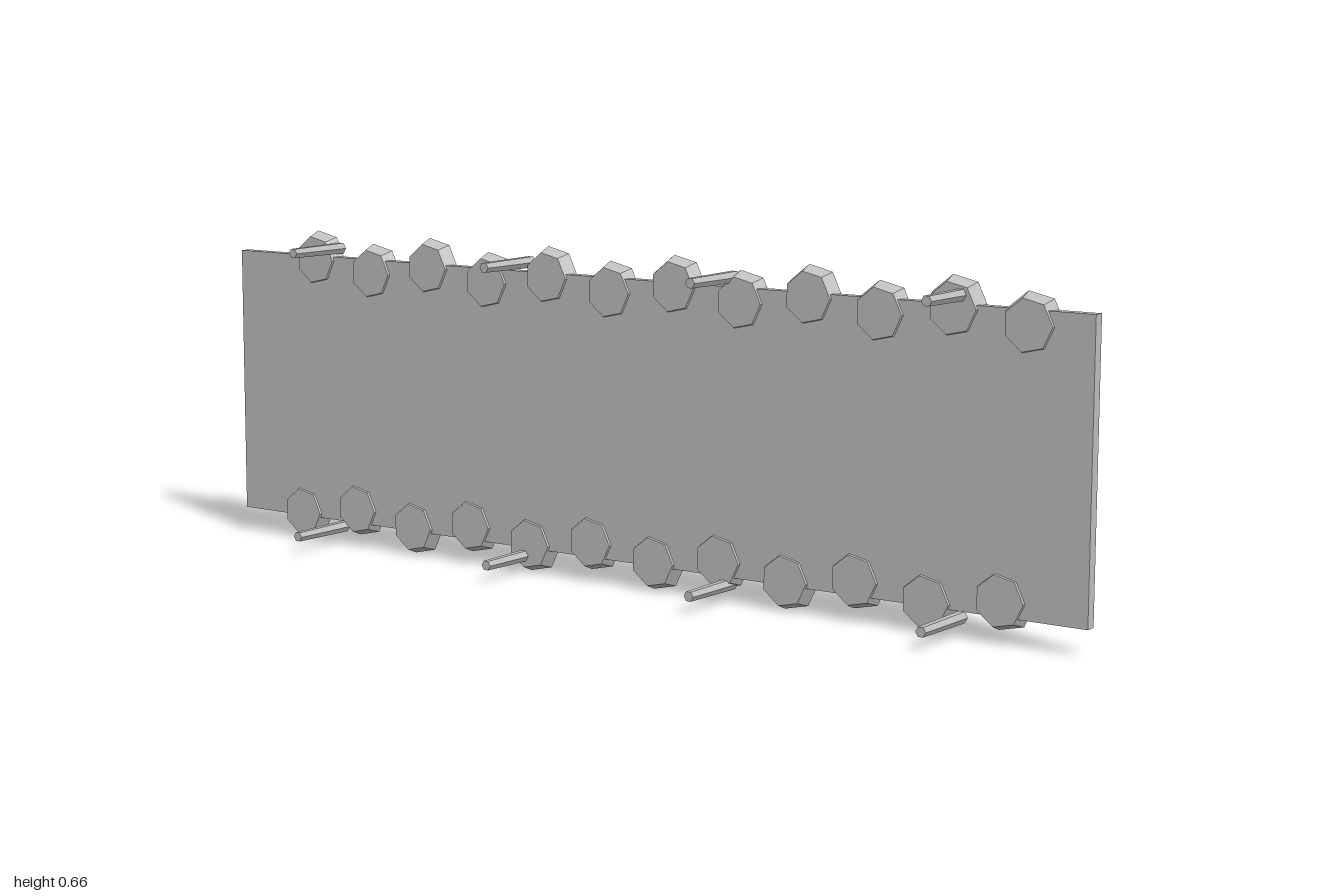
import * as THREE from 'three';

export function createModel() {
  const model = new THREE.Group();
  const grey = new THREE.MeshStandardMaterial({ color: 0xbfbfbf, flatShading: true });
  grey.name = 'plain grey';

  function add(name, geometry, x, y, z) {
    const mesh = new THREE.Mesh(geometry, grey);
    mesh.name = name;
    mesh.position.set(x, y, z);
    model.add(mesh);
  }

  // Tapered prism along z, with one corner pointing to +x
  function taper(frontRadius, backRadius, depth, sides) {
    return new THREE.CylinderGeometry(frontRadius, backRadius, depth, sides)
      .rotateY(-Math.PI / 2 + Math.PI)
      .rotateX(Math.PI / 2)
      .rotateZ(sides % 2 ? cornerTurn : 0);
  }
  // The half turn above puts the first corner on +x already
  const cornerTurn = 0;

  // Flat board
  add('board', new THREE.BoxGeometry(2, 0.555, 0.022), 0, 0.3275, -0.061);

  // Staggered seven-sided studs along both long edges
  const stud = taper(0.049, 0.06, 0.028, 7);
  for (let i = 0; i < 12; i++) {
    const odd = i % 2;
    add('topStud', stud, -0.79 + i * 0.151, odd ? 0.577 : 0.597, -0.06);
    add('bottomStud', stud, -0.835 + i * 0.151, odd ? 0.079 : 0.0585, -0.06);
  }

  // Slim pegs pointing forward
  const peg = taper(0.0105, 0.0125, 0.149, 6);
  for (const x of [-0.74, -0.243, 0.24, 0.737]) {
    add('topPeg', peg, x, 0.622, 0.0005);
    add('bottomPeg', peg, x, 0.034, 0.0005);
  }

  return model;
}
